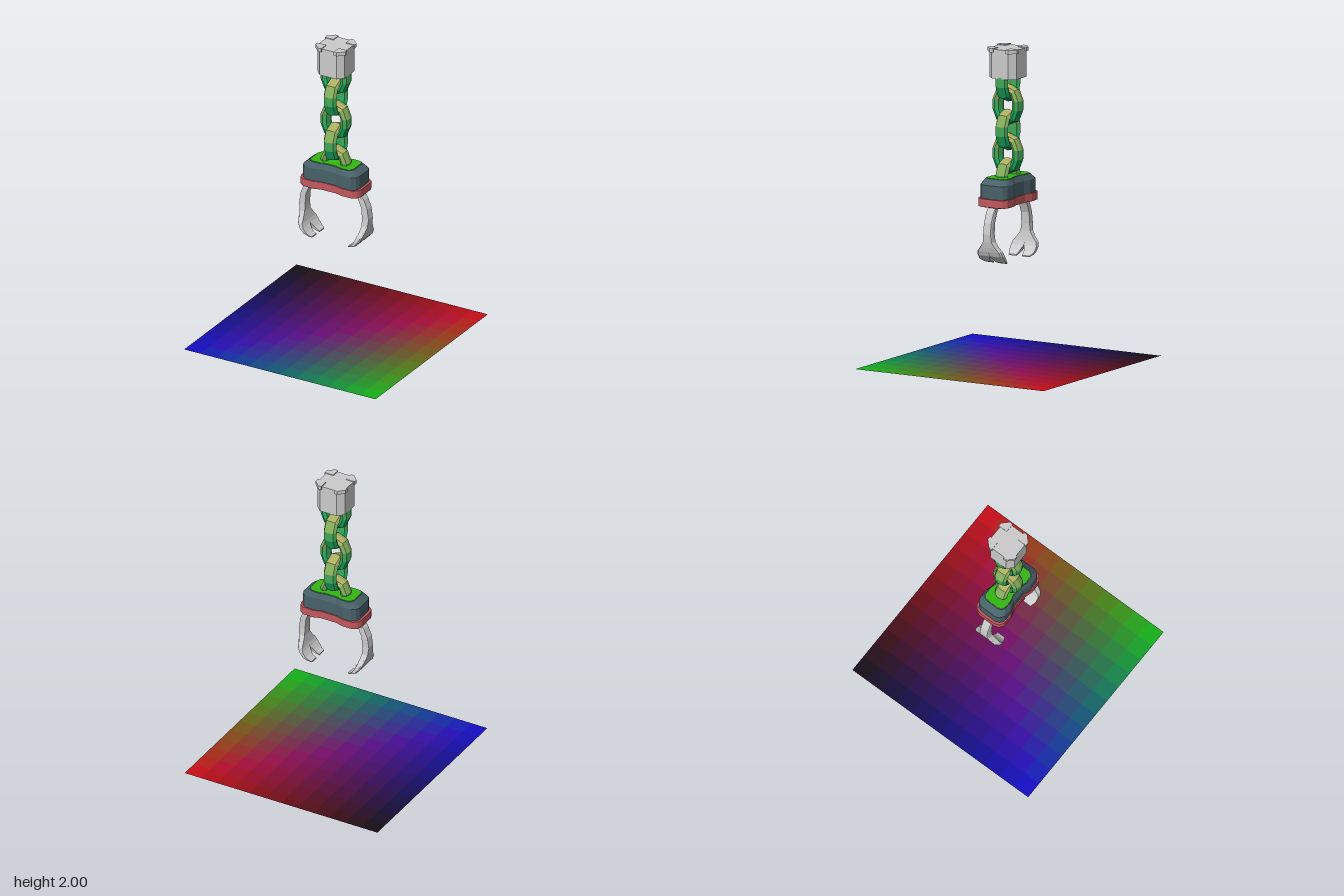
import * as THREE from 'three';

const mat = (color, side = THREE.FrontSide) =>
  new THREE.MeshStandardMaterial({ color, flatShading: true, side });

function add(parent, name, geometry, material) {
  const mesh = new THREE.Mesh(geometry, material);
  mesh.name = name;
  parent.add(mesh);
  return mesh;
}

// Closed solid through a list of rings (each an array of [x, y, z]), turned outward
function loft(rings) {
  const tris = [];
  const n = rings[0].length;
  const centre = (r) => [0, 1, 2].map((a) => r.reduce((s, p) => s + p[a], 0) / n);
  const first = rings[0], last = rings[rings.length - 1];
  const c0 = centre(first), c1 = centre(last);
  for (let j = 0; j < n; j++) {
    const k = (j + 1) % n;
    for (let i = 0; i < rings.length - 1; i++) {
      const a = rings[i], b = rings[i + 1];
      tris.push([a[j], a[k], b[k]], [a[j], b[k], b[j]]);
    }
    tris.push([c0, first[k], first[j]], [c1, last[j], last[k]]);
  }
  const v = (p) => new THREE.Vector3(...p);
  const volume = tris.reduce((s, t) => s + v(t[0]).dot(v(t[1]).cross(v(t[2]))), 0);
  if (volume < 0) tris.forEach((t) => t.reverse());
  const geometry = new THREE.BufferGeometry();
  geometry.setAttribute('position', new THREE.Float32BufferAttribute(tris.flat(2), 3));
  geometry.computeVertexNormals();
  return geometry;
}

// Stack a plan outline at heights: levels are [y, scaleX, scaleZ]
const stack = (outline, levels) =>
  loft(levels.map(([y, sx, sz]) => outline.map(([x, z]) => [x * sx, y, z * sz])));

// Mirror a quarter outline (from the +x side round to the +z side) into a full loop
function fourWay(q) {
  const half = [...q, ...[...q].reverse().map(([x, z]) => [-x, z])];
  return [...half, ...half.map(([x, z]) => [-x, -z])];
}

// Chain link: eight bent pieces and two straights, shaded from olive down to green
function makeLink() {
  const link = new THREE.Group();
  link.name = 'chainLink';
  const R = 0.072, r = 0.03, half = 0.03;
  const shades = [0x16a060, 0x1aa85e, 0x44a858, 0x86b05c, 0xacb062].map((c) => mat(c));
  const bend = new THREE.TorusGeometry(R, r, 8, 1, Math.PI / 4);
  const bar = new THREE.CylinderGeometry(r, r, half * 2, 8, 1, true);
  bar.rotateY(Math.PI / 2);
  for (let k = 0; k < 8; k++) {
    const up = k < 4, end = k % 4 === 1 || k % 4 === 2;
    const piece = add(link, 'linkBend', bend, shades[up ? (end ? 4 : 3) : (end ? 0 : 1)]);
    piece.rotation.z = (k * Math.PI) / 4;
    piece.position.y = up ? half : -half;
  }
  for (const s of [-1, 1]) add(link, 'linkSide', bar, shades[2]).position.x = s * R;
  link.scale.z = 1.5;
  return link;
}

// Square floor panel blending between four corner colours
function makePanel() {
  const panel = new THREE.Group();
  panel.name = 'basePanel';
  const N = 12, size = 1.38, tile = size / N;
  const black = [14, 14, 16], red = [205, 14, 18], blue = [14, 14, 205], green = [14, 190, 18];
  const geometry = new THREE.PlaneGeometry(tile, tile).rotateX(-Math.PI / 2);
  for (let i = 0; i < N; i++) {
    for (let j = 0; j < N; j++) {
      const u = (i + 0.5) / N, w = (j + 0.5) / N;
      const rgb = black.map((c, a) => Math.round(u + w <= 1
        ? c + u * (red[a] - c) + w * (blue[a] - c)
        : green[a] + (1 - u) * (blue[a] - green[a]) + (1 - w) * (red[a] - green[a])));
      const color = (rgb[0] << 16) | (rgb[1] << 8) | rgb[2];
      add(panel, 'panelTile', geometry, mat(color, THREE.DoubleSide))
        .position.set((u - 0.5) * size, 0, (w - 0.5) * size);
    }
  }
  return panel;
}

// Half of a claw arm: sections are [outerX, outerY, innerX, innerY, innerZ, outerZ]
const armSections = [
  [0.175, 1.03, 0.15, 1.03, 0, 0.03],
  [0.215, 0.98, 0.18, 0.97, 0, 0.03],
  [0.24, 0.92, 0.2, 0.92, 0, 0.03],
  [0.25, 0.85, 0.205, 0.85, 0, 0.03],
  [0.245, 0.8, 0.205, 0.8, 0, 0.036],
  [0.238, 0.765, 0.2, 0.765, 0, 0.06],
  [0.23, 0.737, 0.195, 0.737, 0, 0.085],
  [0.217, 0.707, 0.185, 0.712, 0.001, 0.092],
  [0.19, 0.677, 0.165, 0.684, 0.014, 0.092],
  [0.16, 0.661, 0.15, 0.67, 0.018, 0.085],
  [0.13, 0.652, 0.13, 0.66, 0.02, 0.076],
];
const armHalf = (sx, sz) => loft(armSections.map(([ox, oy, ix, iy, zi, zo]) => [
  [sx * ox, oy, sz * zi], [sx * ox, oy, sz * zo * 0.88],
  [sx * (ox * 0.75 + ix * 0.25), oy * 0.75 + iy * 0.25, sz * zo],
  [sx * ix, iy, sz * zo], [sx * ix, iy, sz * zi],
]));

export function createModel() {
  const model = new THREE.Group();
  model.name = 'hangingClaw';
  const grey = mat(0xcccccc), teal = mat(0x486169), red = mat(0xc4595e), green = mat(0x35b512);

  model.add(makePanel());

  // Top block with chamfered corners and four corner tabs
  const block = fourWay([[0.098, 0.06], [0.06, 0.098]]);
  add(model, 'topBlock', stack(block, [[1.81, 1, 1], [1.995, 1, 1]]), grey);
  const tab = [[0.045, 0.045], [0.107, 0.045], [0.107, 0.068], [0.068, 0.107], [0.045, 0.107]];
  for (const sx of [-1, 1]) {
    for (const sz of [-1, 1]) {
      add(model, 'cornerTab', stack(tab, [[1.975, sx, sz], [2, sx, sz]]), grey);
    }
  }

  // Chain of alternating links
  [1.785, 1.635, 1.475, 1.325, 1.168].forEach((y, i) => {
    const link = makeLink();
    link.position.y = y;
    link.rotation.y = i % 2 ? Math.PI / 2 : 0;
    model.add(link);
  });

  // Claw head with a slightly waisted outline, red rim and green top pad
  const head = fourWay([[0.2, 0.055], [0.19, 0.08], [0.165, 0.098], [0.1, 0.1], [0.05, 0.086]]);
  add(model, 'headBody', stack(head, [[1.012, 1, 1], [1.15, 1, 1], [1.185, 0.79, 0.8]]), teal);
  add(model, 'headRim', stack(head, [[1.015, 1.075, 1.08], [1.065, 1.075, 1.08]]), red);
  add(model, 'headUnderside', stack(head, [[1.012, 1.03, 1.03], [1.02, 1.03, 1.03]]), teal);
  add(model, 'topPad', stack(head, [[1.18, 0.77, 0.75], [1.188, 0.77, 0.75]]), green);

  // Two curved claws, each ending in a forked tip
  for (const sx of [-1, 1]) {
    const claw = new THREE.Group();
    claw.name = sx > 0 ? 'leftClaw' : 'rightClaw';
    for (const sz of [-1, 1]) add(claw, 'clawHalf', armHalf(sx, sz), grey);
    model.add(claw);
  }
  return model;
}
